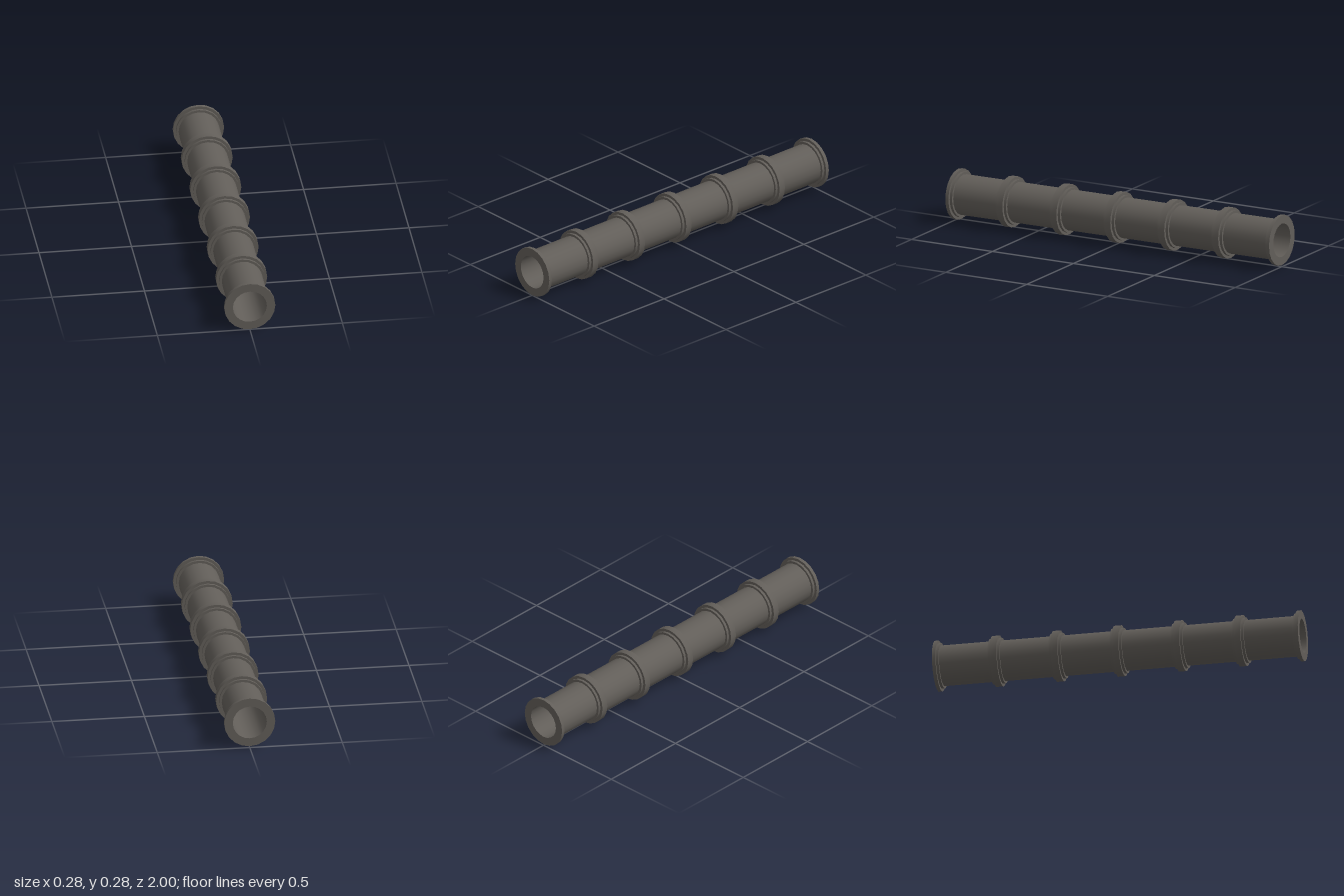
import * as THREE from 'three';
import { toCreasedNormals } from 'three/addons/utils/BufferGeometryUtils.js';

const SIDES = 20;
const BORE = 0.092, WALL = 0.11, STEP = 0.123, RIM = 0.138;

export function createModel() {
  const model = new THREE.Group();
  const pipe = new THREE.Group();
  pipe.name = 'pipe';
  const iron = new THREE.MeshStandardMaterial({ color: 0x625e59 });
  iron.name = 'dark iron';

  // Revolves [radius, z] pairs around the z axis, keeping the steps sharp
  function ring(name, profile, z = 0) {
    const points = profile.map(([r, h]) => new THREE.Vector2(r, h));
    const geometry = new THREE.LatheGeometry(points, SIDES).rotateX(Math.PI / 2);
    const mesh = new THREE.Mesh(toCreasedNormals(geometry, 0.6), iron);
    mesh.name = name;
    mesh.position.z = z;
    pipe.add(mesh);
    return mesh;
  }

  // Outer wall and bore
  ring('outerWall', [[WALL, -0.99], [WALL, 0.99]]);
  ring('bore', [[BORE, 1], [BORE, -1]]);

  // Stepped collars at every joint
  for (let i = -2; i <= 2; i++) {
    ring('jointCollar', [
      [WALL, -0.033], [STEP, -0.033], [STEP, -0.019], [RIM, -0.019],
      [RIM, 0.019], [STEP, 0.019], [STEP, 0.033], [WALL, 0.033],
    ], i / 3);
  }

  // Flanges closing the wall at both ends
  const flange = [[WALL, -0.033], [STEP, -0.033], [STEP, -0.019], [RIM, -0.019], [RIM, 0], [BORE, 0]];
  ring('frontFlange', flange, 1);
  ring('backFlange', flange, -1).rotation.y = Math.PI;

  // The pipe rises very slightly towards the back
  pipe.position.y = 0.143;
  pipe.rotation.x = 0.004;
  model.add(pipe);
  return model;
}
